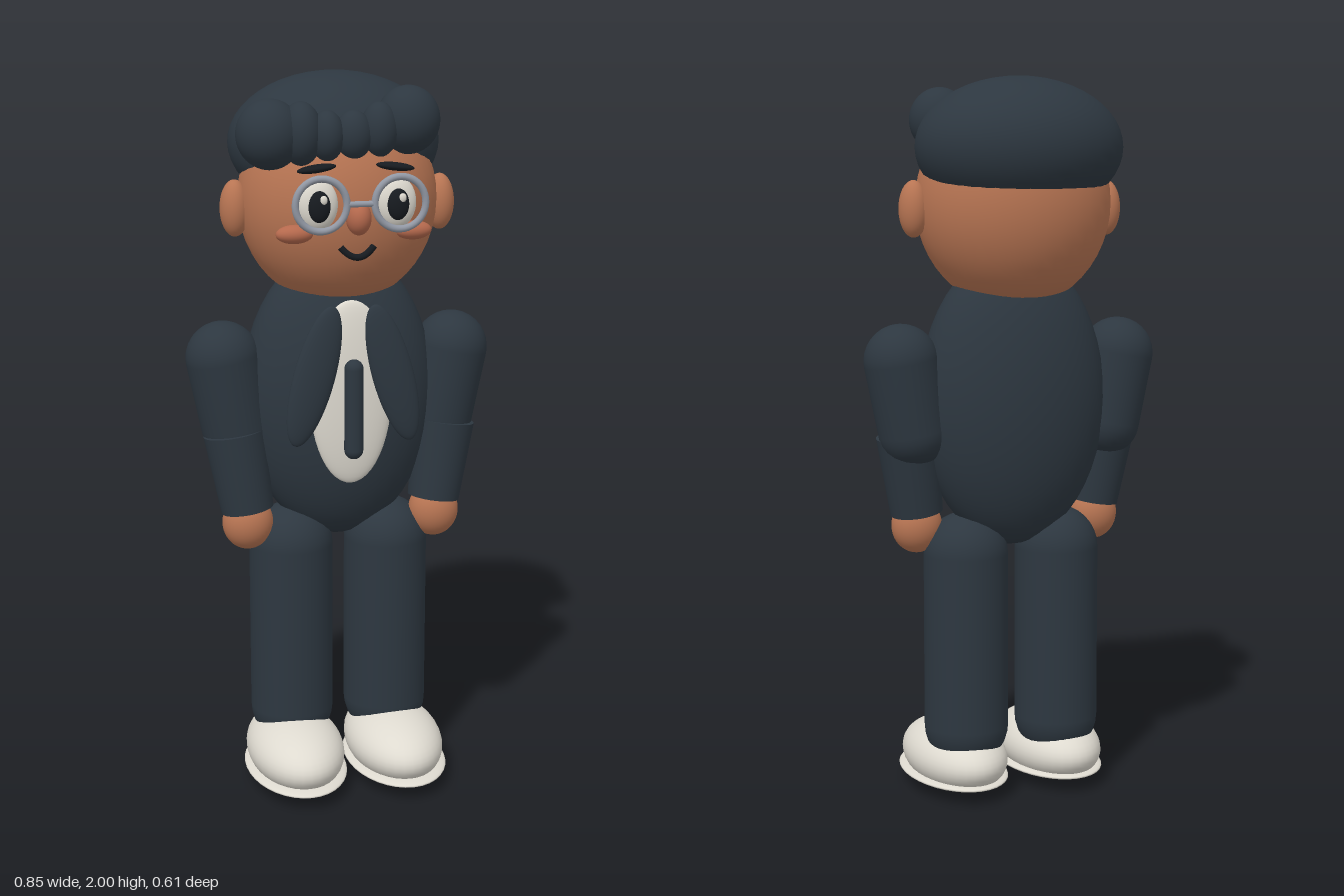
import * as THREE from 'three';

const mat = (name, color) => {
  const m = new THREE.MeshStandardMaterial({ color });
  m.name = name;
  return m;
};

export function createModel() {
  const model = new THREE.Group();
  model.name = 'character';

  const skin = mat('skin', 0xb87553);
  const navy = mat('navy cloth and hair', 0x2d3740);
  const cream = mat('cream', 0xdedad0);
  const blush = mat('blush', 0xb5694d);
  const black = mat('black', 0x171b20);
  const silver = mat('silver', 0x9298a4);

  const add = (name, geometry, material, p = [0, 0, 0]) => {
    const mesh = new THREE.Mesh(geometry, material);
    mesh.name = name;
    mesh.position.set(...p);
    model.add(mesh);
    return mesh;
  };
  const ball = (name, material, p, r) => {
    const mesh = add(name, new THREE.SphereGeometry(1, 36, 24), material, p);
    mesh.scale.set(...r);
    return mesh;
  };
  // Limb between two points, with a cap radius at each end
  const limb = (name, material, a, b, ra, rb) => {
    const from = new THREE.Vector3(...a), to = new THREE.Vector3(...b);
    const dir = to.clone().sub(from), len = dir.length();
    const pts = [];
    for (let i = 0; i <= 8; i++) {
      const t = (i / 8 - 1) * Math.PI / 2;
      pts.push(new THREE.Vector2(Math.cos(t) * ra, Math.sin(t) * ra));
    }
    for (let i = 0; i <= 8; i++) {
      const t = (i / 8) * Math.PI / 2;
      pts.push(new THREE.Vector2(Math.cos(t) * rb, len + Math.sin(t) * rb));
    }
    const mesh = add(name, new THREE.LatheGeometry(pts, 32), material, a);
    mesh.quaternion.setFromUnitVectors(new THREE.Vector3(0, 1, 0), dir.normalize());
    return mesh;
  };

  // Head and hair
  ball('head', skin, [0, 1.66, -0.025], [0.273, 0.29, 0.238]);
  ball('hairCap', navy, [0, 1.81, -0.07], [0.29, 0.19, 0.235]);
  const curls = [
    [-0.215, 1.855, 0.125, 0.088, 0.092, 0.09],
    [-0.135, 1.857, 0.145, 0.055, 0.083, 0.07],
    [-0.07, 1.852, 0.165, 0.045, 0.066, 0.052],
    [0, 1.853, 0.167, 0.05, 0.064, 0.048],
    [0.07, 1.865, 0.162, 0.05, 0.072, 0.053],
    [0.155, 1.885, 0.132, 0.085, 0.09, 0.084],
  ];
  for (const [x, y, z, ...r] of curls) ball('fringeCurl', navy, [x, y, z], r);

  // Face centre
  ball('nose', blush, [0, 1.645, 0.225], [0.033, 0.045, 0.04]);
  const smile = new THREE.QuadraticBezierCurve3(
    new THREE.Vector3(-0.045, 1.568, 0.21),
    new THREE.Vector3(0, 1.512, 0.222),
    new THREE.Vector3(0.045, 1.568, 0.21));
  add('mouth', new THREE.TubeGeometry(smile, 20, 0.009, 10), black);

  // Torso, shirt front and tie
  ball('torso', navy, [0, 1.12, -0.02], [0.27, 0.41, 0.17]);
  ball('shirtFront', cream, [0, 1.157, 0.142], [0.115, 0.255, 0.032]);
  add('tie', new THREE.CapsuleGeometry(0.026, 0.225, 8, 20), navy, [0, 1.118, 0.176]);

  // Glasses bridge
  const bridge = add('glassesBridge', new THREE.CylinderGeometry(0.008, 0.008, 0.07, 12),
    silver, [0, 1.685, 0.25]);
  bridge.rotation.z = Math.PI / 2;

  for (const s of [-1, 1]) {
    // Paired features of the face
    ball('ear', skin, [s * 0.285, 1.645, -0.013], [0.04, 0.077, 0.045]);
    ball('eye', cream, [s * 0.105, 1.68, 0.205], [0.054, 0.069, 0.03]);
    ball('pupil', black, [s * 0.105, 1.678, 0.226], [0.03, 0.042, 0.018]);
    ball('eyeGlint', cream, [s * 0.105 + 0.009, 1.696, 0.24], [0.01, 0.012, 0.006]);
    ball('cheek', blush, [s * 0.16, 1.6, 0.175], [0.05, 0.025, 0.03]);
    ball('eyebrow', black, [s * 0.105, 1.772, 0.195], [0.052, 0.011, 0.02])
      .rotation.z = -s * 0.12;
    add('glassesRim', new THREE.TorusGeometry(0.068, 0.0095, 12, 40), silver,
      [s * 0.105, 1.685, 0.25]);

    // Jacket lapel
    ball('lapel', navy, [s * 0.108, 1.213, 0.172], [0.057, 0.197, 0.024])
      .rotation.z = s * 0.27;

    // Arm and hand
    limb('upperArm', navy, [s * 0.29, 1.04, -0.012], [s * 0.324, 1.235, -0.013], 0.096, 0.102);
    const wrist = new THREE.Vector3(s * 0.268, 0.81, 0.027);
    const elbow = new THREE.Vector3(s * 0.3, 1.03, 0.012);
    const axis = elbow.clone().sub(wrist);
    const forearm = add('forearm', new THREE.CylinderGeometry(0.086, 0.073, axis.length(), 32),
      navy, wrist.clone().add(elbow).multiplyScalar(0.5).toArray());
    forearm.quaternion.setFromUnitVectors(new THREE.Vector3(0, 1, 0), axis.normalize());
    ball('hand', skin, [s * 0.268, 0.773, 0.028], [0.071, 0.077, 0.065]);

    // Leg and shoe
    limb('leg', navy, [s * 0.1375, 0.2, -0.0125], [s * 0.1375, 0.69, -0.0125], 0.118, 0.118);
    ball('shoe', cream, [s * 0.145, 0.097, 0.064], [0.136, 0.095, 0.228]);
    ball('sole', cream, [s * 0.146, 0.047, 0.073], [0.143, 0.019, 0.23]);
  }

  return model;
}
